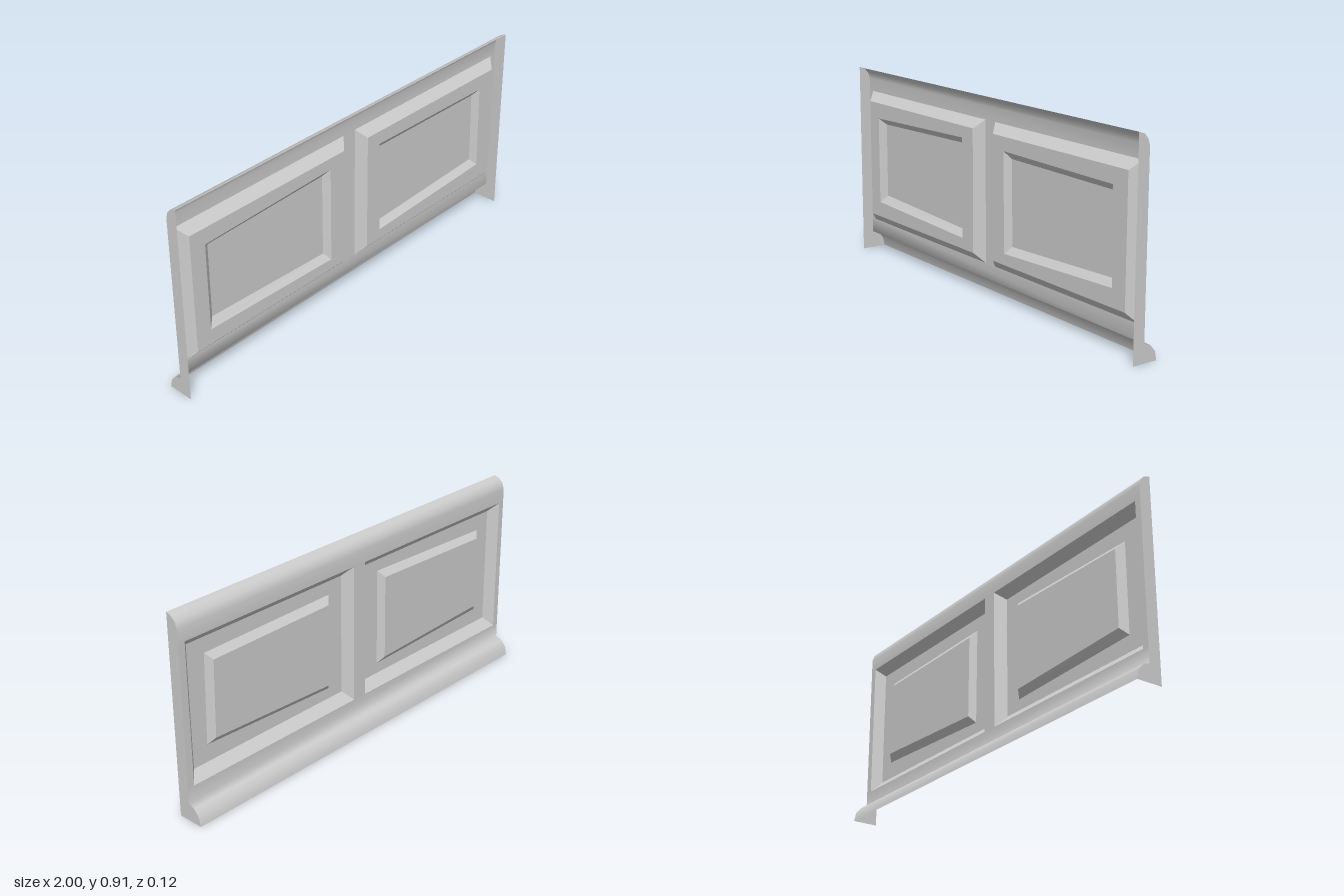
import * as THREE from 'three';

const material = new THREE.MeshStandardMaterial({ color: 0xcccccc, side: THREE.DoubleSide });

// Depths of the moulded face, which looks toward -z; the shell is open at +z and below
const FACE = 0.005, FLOOR = 0.045, FIELD = 0.02, OPEN = 0.06;

// Cross-section points as [z, y]
const skirting = [[-0.06, 0], [-0.051, 0.04], [-0.026, 0.07], [FACE, 0.08], [FACE, 0.15]];
const topRail = [[FACE, 0.79], [FACE, 0.85], [0.014, 0.878], [0.033, 0.898], [OPEN, 0.907]];

const rect = (x0, y0, x1, y1) => [[x0, y0], [x1, y0], [x1, y1], [x0, y1]];
const vectors = (pts) => pts.map(([x, y]) => new THREE.Vector2(x, y));

// Each panel: sunk rectangle, its floor, and the slightly skewed raised field
const panels = [
  {
    name: 'rightPanel',
    rim: rect(-0.97, 0.15, -0.035, 0.79),
    floor: rect(-0.932, 0.193, -0.075, 0.75),
    base: [[-0.857, 0.265], [-0.157, 0.243], [-0.157, 0.697], [-0.857, 0.676]],
    field: [[-0.825, 0.3], [-0.183, 0.275], [-0.183, 0.666], [-0.825, 0.649]],
  },
  {
    name: 'leftPanel',
    rim: rect(0.035, 0.15, 0.967, 0.79),
    floor: rect(0.073, 0.193, 0.93, 0.75),
    base: [[0.155, 0.243], [0.854, 0.272], [0.844, 0.68], [0.148, 0.688]],
    field: [[0.18, 0.275], [0.827, 0.302], [0.818, 0.65], [0.175, 0.656]],
  },
];

function part(name, geometry) {
  const mesh = new THREE.Mesh(geometry, material);
  mesh.name = name;
  return mesh;
}

// Flat sheet at depth z, facing -z
function plate(outline, holes, z) {
  const shape = new THREE.Shape(vectors(outline));
  shape.holes = holes.map((h) => new THREE.Path(vectors(h)));
  const geo = new THREE.ShapeGeometry(shape);
  geo.index.array.reverse();
  geo.translate(0, 0, z);
  geo.computeVertexNormals();
  return geo;
}

// Four mitred, hard-edged slopes between two four-cornered loops
function bevel(outer, inner, zOuter, zInner) {
  const pos = [];
  for (let i = 0; i < 4; i++) {
    const j = (i + 1) % 4;
    const a = [...outer[i], zOuter], b = [...outer[j], zOuter];
    const c = [...inner[j], zInner], d = [...inner[i], zInner];
    pos.push(...a, ...c, ...b, ...a, ...d, ...c);
  }
  const geo = new THREE.BufferGeometry();
  geo.setAttribute('position', new THREE.Float32BufferAttribute(pos, 3));
  geo.computeVertexNormals();
  return geo;
}

// Smooth moulding running the full width along x
function moulding(profile) {
  const pos = [], index = [];
  profile.forEach(([z, y], i) => {
    pos.push(-1, y, z, 1, y, z);
    const k = 2 * i;
    if (i) index.push(k - 2, k, k - 1, k - 1, k, k + 1);
  });
  const geo = new THREE.BufferGeometry();
  geo.setAttribute('position', new THREE.Float32BufferAttribute(pos, 3));
  geo.setIndex(index);
  geo.computeVertexNormals();
  return geo;
}

export function createModel() {
  const model = new THREE.Group();
  model.name = 'wainscotPanel';

  model.add(part('skirting', moulding(skirting)));
  model.add(part('topRail', moulding(topRail)));

  // Stiles between and beside the panels
  const edges = [-1, ...panels.flatMap((p) => [p.rim[0][0], p.rim[1][0]]), 1];
  for (let i = 0; i < edges.length; i += 2) {
    model.add(part('stile', plate(rect(edges[i], 0.15, edges[i + 1], 0.79), [], FACE)));
  }

  // Sunk panels with raised centre fields
  for (const p of panels) {
    const panel = new THREE.Group();
    panel.name = p.name;
    panel.add(
      part('sunkBevel', bevel(p.rim, p.floor, FACE, FLOOR)),
      part('panelFloor', plate(p.floor, [p.base], FLOOR)),
      part('raisedBevel', bevel(p.base, p.field, FLOOR, FIELD)),
      part('raisedField', plate(p.field, [], FIELD)),
    );
    model.add(panel);
  }

  // End caps, drawn in -z / y and turned to face outward
  const section = [...skirting, ...topRail, [OPEN, 0]];
  for (const side of [1, -1]) {
    const outline = section.map(([z, y]) => [-side * z, y]);
    const cap = part(side > 0 ? 'leftEndCap' : 'rightEndCap',
      new THREE.ShapeGeometry(new THREE.Shape(vectors(outline))));
    cap.rotation.y = side * Math.PI / 2;
    cap.position.x = side;
    model.add(cap);
  }
  return model;
}
